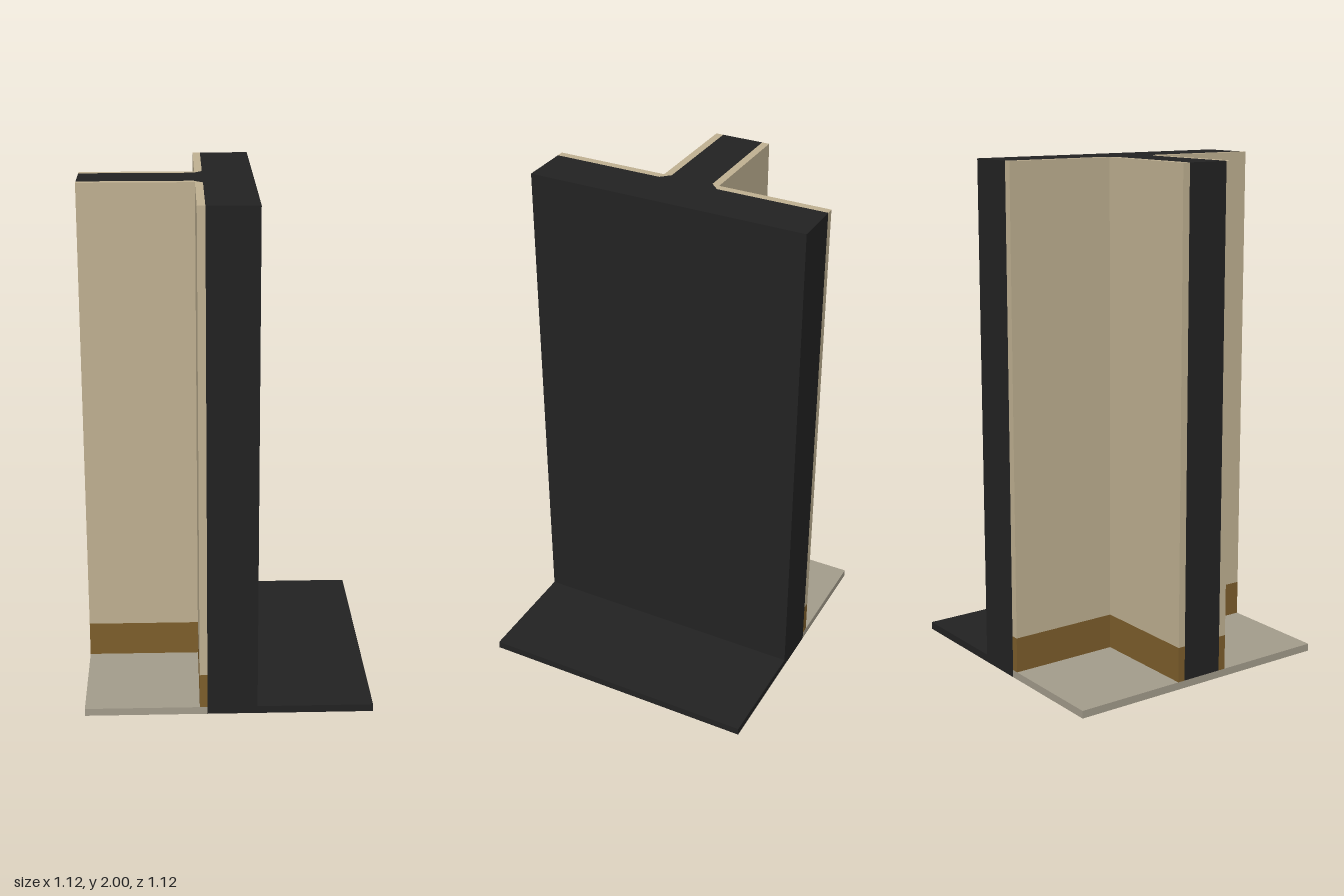
import * as THREE from 'three';

const material = (name, color) => {
  const m = new THREE.MeshStandardMaterial({ color });
  m.name = name;
  return m;
};

export function createModel() {
  const black = material('wall core black', 0x222222);
  const beige = material('wall panel beige', 0xc0b192);
  const brown = material('skirting brown', 0x7d5e2b);
  const grey = material('floor grey', 0xa39c8b);

  const group = new THREE.Group();
  const EDGE = 0.562, FLOOR = 0.03, SKIRT = 0.17, TOP = 2;
  const CORE = 0.085, FACE = 0.115, BACK = 0.11, CHAMFER = 0.12;

  const add = (name, geometry, mat) => {
    const mesh = new THREE.Mesh(geometry, mat);
    mesh.name = name;
    group.add(mesh);
    return mesh;
  };

  // Box between two x limits and two y limits, full depth
  const slab = (name, x0, x1, y0, y1, mat) => {
    const mesh = add(name, new THREE.BoxGeometry(x1 - x0, y1 - y0, 2 * EDGE), mat);
    mesh.position.set((x0 + x1) / 2, (y0 + y1) / 2, 0);
  };

  // Plan outline of [x, z] points raised from y0 to y1
  const raise = (name, plan, y0, y1, mat) => {
    const shape = new THREE.Shape(plan.map(([x, z]) => new THREE.Vector2(x, -z)));
    const geometry = new THREE.ExtrudeGeometry(shape, { depth: y1 - y0, bevelEnabled: false });
    geometry.rotateX(-Math.PI / 2).translate(0, y0, 0);
    add(name, geometry, mat);
  };

  // Floor: pale inner part, wall footing with a pale underside, dark outer part
  slab('innerFloor', -EDGE, -CORE, 0, FLOOR, grey);
  slab('wallFooting', -CORE, BACK, 0, FLOOR, [black, black, black, grey, black, black]);
  slab('outerFloor', BACK, EDGE, 0, FLOOR, black);

  // T-shaped wall core with small chamfers in the inner corners
  raise('wallCore', [
    [BACK, -EDGE], [BACK, EDGE], [-CORE, EDGE], [-CORE, CHAMFER], [-CHAMFER, CORE], [-EDGE, CORE],
    [-EDGE, -CORE], [-CHAMFER, -CORE], [-CORE, -CHAMFER], [-CORE, -EDGE],
  ], FLOOR, TOP, black);

  // L-shaped linings of the two inner corners, with skirting at the foot
  for (const [side, s] of [['front', 1], ['back', -1]]) {
    const plan = [
      [-EDGE, CORE], [-CHAMFER, CORE], [-CORE, CHAMFER], [-CORE, EDGE],
      [-FACE, EDGE], [-FACE, FACE], [-EDGE, FACE],
    ].map(([x, z]) => [x, z * s]);
    raise(side + 'Skirting', plan, FLOOR, SKIRT, brown);
    raise(side + 'WallPanel', plan, SKIRT, TOP, beige);
  }
  return group;
}
